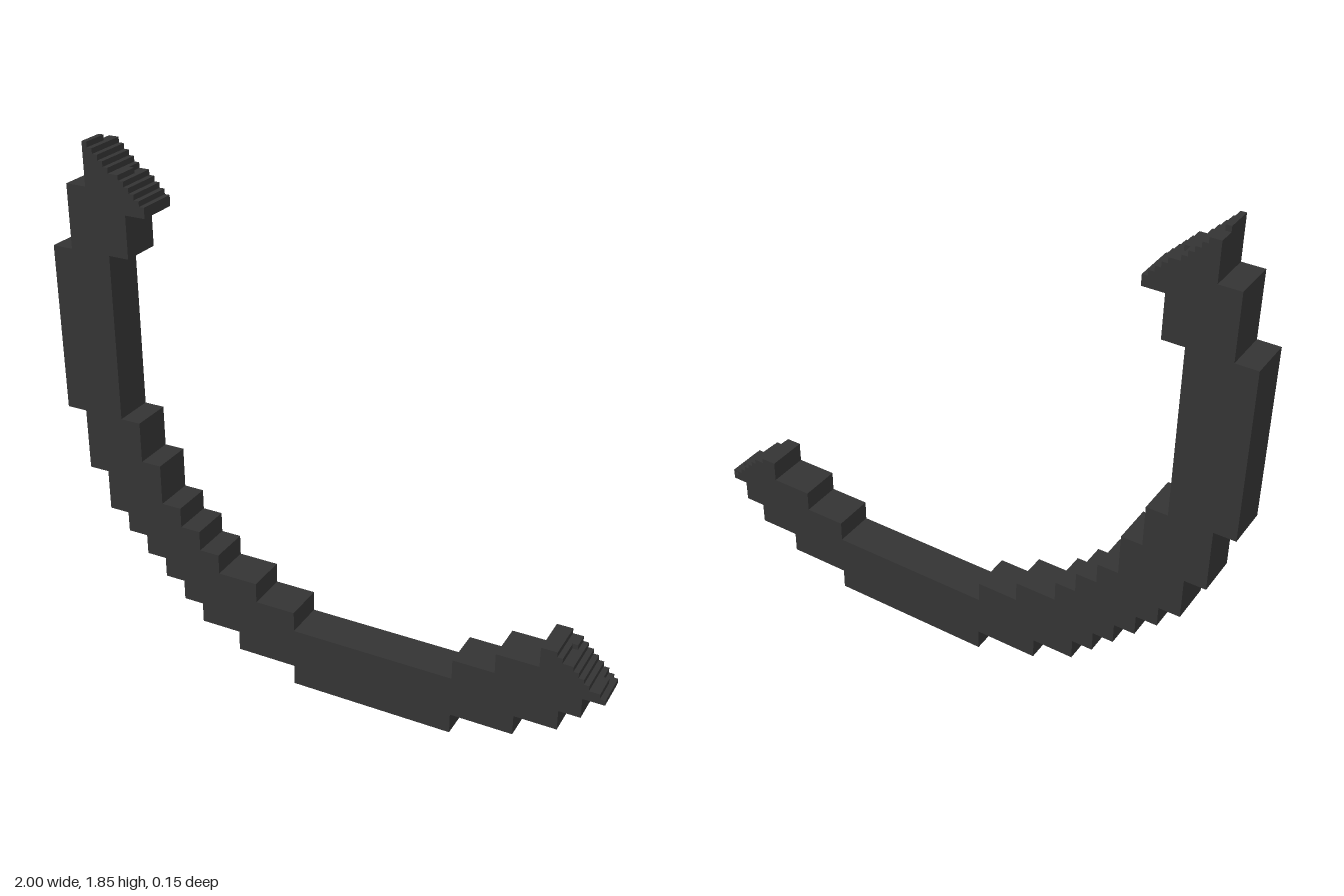
import * as THREE from 'three';

const U = 2 / 27;          // one block
const DEPTH = 2 * U;       // the arc is two blocks thick

// Stair-stepped broken end, traced right to left in quarter blocks
function brokenEnd(x0, base, heights) {
  const pts = [[x0 + heights.length / 4, base]];
  for (let i = heights.length - 1; i >= 0; i--) {
    pts.push([x0 + (i + 1) / 4, heights[i] / 4], [x0 + i / 4, heights[i] / 4]);
  }
  return pts;
}

// Counter-clockwise blocky outline of the arc, in block units
function outline(rightEnd, leftEnd) {
  return [
    // outer edge, bottom to right tip
    [12, 0], [20, 0], [20, 1], [23, 1], [23, 2], [25, 2], [25, 3], [26, 3], [26, 4],
    ...brokenEnd(24, 4, rightEnd),
    // inner edge
    [24, 5], [22, 5], [22, 4], [20, 4], [20, 3], [12, 3], [12, 4], [10, 4], [10, 5],
    [8, 5], [8, 6], [7, 6], [7, 7], [6, 7], [6, 8], [5, 8], [5, 10], [4, 10],
    [4, 12], [3, 12], [3, 20], [4, 20], [4, 22],
    ...brokenEnd(2, 22, leftEnd),
    // outer edge, left tip back to bottom
    [2, 23], [1, 23], [1, 20], [0, 20], [0, 12], [1, 12], [1, 9], [2, 9], [2, 7],
    [3, 7], [3, 6], [4, 6], [4, 5], [5, 5], [5, 4], [6, 4], [6, 3], [7, 3], [7, 2],
    [9, 2], [9, 1], [12, 1],
  ];
}

export function createModel() {
  const group = new THREE.Group();
  group.name = 'brokenArc';
  const charcoal = new THREE.MeshStandardMaterial({ color: 0x343434 });
  charcoal.name = 'charcoal';

  // Layers from back to front, in eighths of the depth, with chipped ends
  const layers = [
    { name: 'backLayer', from: 0, to: 1,
      right: [24, 24, 24, 23, 23, 22, 21, 20, 19, 18, 17],
      left: [99, 99, 98, 97, 96, 95, 94, 94, 93, 92, 91, 90] },
    { name: 'middleLayer', from: 1, to: 3,
      right: [24, 24, 24, 23, 23, 22, 21, 20, 19, 18, 17, 17],
      left: [99, 99, 98, 97, 96, 95, 94, 94, 93, 92, 91, 90] },
    { name: 'frontLayer', from: 3, to: 8,
      right: [24, 24, 24, 23, 22, 22, 21, 20, 19, 18, 18, 17],
      left: [100, 99, 98, 97, 96, 95, 95, 94, 93, 92, 91, 90] },
  ];

  for (const { name, from, to, right, left } of layers) {
    const pts = outline(right, left).map(([x, y]) => new THREE.Vector2(x * U - 1, y * U));
    const geometry = new THREE.ExtrudeGeometry(new THREE.Shape(pts), {
      depth: (to - from) / 8 * DEPTH, bevelEnabled: false,
    });
    geometry.translate(0, 0, from / 8 * DEPTH - DEPTH / 2);
    const mesh = new THREE.Mesh(geometry, charcoal);
    mesh.name = name;
    group.add(mesh);
  }
  return group;
}
